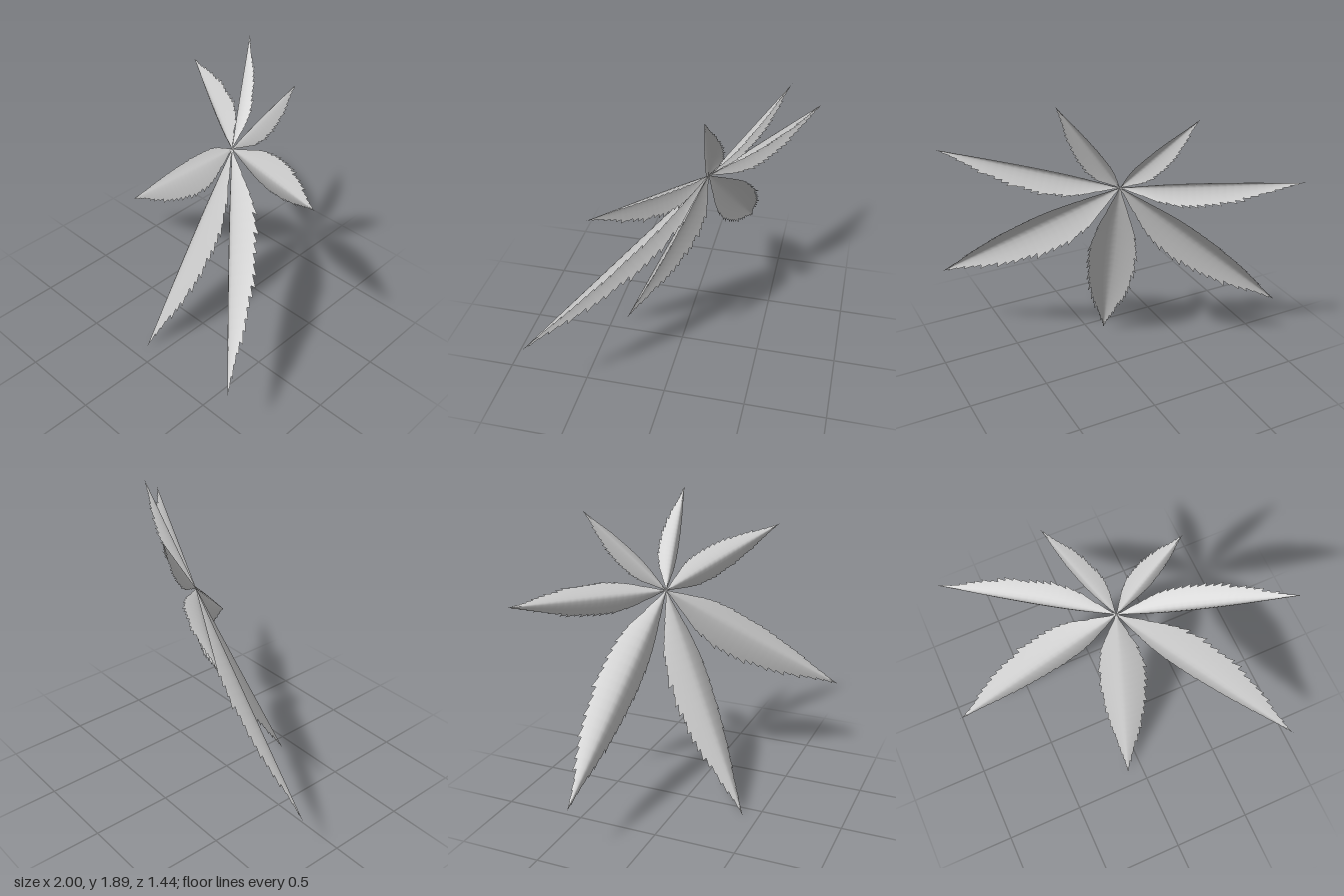
import * as THREE from 'three';

const HUB = new THREE.Vector3(0.07, 1.33, -0.17);
const FACING = new THREE.Vector3(-0.57, 0.47, 1).normalize();
const TEETH = 24;

// name, tip position, half width, depth of the fold
const LEAFLETS = [
  ['lowerRightLeaflet', [-1.0, 0.36, -0.29], 0.135, 0.08],
  ['lowerMiddleLeaflet', [-0.1, 0.0, 0.41], 0.142, 0.075],
  ['lowerLeftLeaflet', [0.9, 0.55, 0.72], 0.142, 0.085],
  ['sideLeftLeaflet', [1.0, 1.585, 0.24], 0.092, 0.072],
  ['upperLeftLeaflet', [0.47, 1.89, -0.22], 0.068, 0.06],
  ['upperRightLeaflet', [-0.185, 1.83, -0.58], 0.064, 0.05],
  ['sideRightLeaflet', [-0.8, 1.405, -0.72], 0.09, 0.072],
];

// Outline: half width at even steps from base to tip
const outline = new THREE.SplineCurve(
  [0.03, 0.37, 0.74, 0.95, 1, 0.96, 0.85, 0.67, 0.43, 0.17, 0].map((w, i) => new THREE.Vector2(i / 10, w))
);

// Repeatable irregularity for the teeth, 0 to 1
const vary = (n) => {
  const s = Math.sin(n * 12.9898) * 43758.5453;
  return s - Math.floor(s);
};

function leafletGeometry(length, halfWidth, fold, seed) {
  const columns = [-1, -0.85, -0.6, -0.35, -0.15, 0, 0.15, 0.35, 0.6, 0.85, 1];
  const rows = [];
  for (let k = 0; k < TEETH; k++) rows.push([k / TEETH, 0, k], [(k + 0.75) / TEETH, 1, k]);
  rows.push([1, 0, TEETH]);

  const positions = [];
  const indices = [];
  rows.forEach(([t, isTooth, k], i) => {
    const w = Math.max(outline.getPoint(t).y, 0);
    columns.forEach((u, j) => {
      // Only the margin is cut into forward-pointing teeth
      let edge = 1;
      let forward = 0;
      if (Math.abs(u) === 1 && t > 0.12 && t < 0.95) {
        const r = vary(seed * 57 + k * 2 + (u > 0 ? 1 : 0));
        edge = isTooth ? 1.02 + 0.1 * r : 0.92 + 0.06 * r;
        forward = isTooth ? (0.2 + 0.4 * r) / TEETH : 0;
      }
      const a = Math.abs(u) * edge;
      positions.push(
        Math.sign(u) * a * w * halfWidth,
        (t + forward) * length,
        -fold * w * Math.pow(a, 1.5)
      );
      if (i < rows.length - 1 && j < columns.length - 1) {
        const p = i * columns.length + j;
        const q = p + columns.length;
        indices.push(p, p + 1, q, p + 1, q + 1, q);
      }
    });
  });

  const geometry = new THREE.BufferGeometry();
  geometry.setAttribute('position', new THREE.Float32BufferAttribute(positions, 3));
  geometry.setIndex(indices);
  geometry.computeVertexNormals();
  return geometry;
}

export function createModel() {
  const group = new THREE.Group();
  group.name = 'palmateLeaf';
  const material = new THREE.MeshStandardMaterial({ color: 0xcccccc, side: THREE.DoubleSide });

  // Leaflets radiate from the hub, each folded back along its midrib
  LEAFLETS.forEach(([name, tip, halfWidth, fold], i) => {
    const along = new THREE.Vector3(...tip).sub(HUB);
    const length = along.length();
    along.normalize();
    const out = FACING.clone().addScaledVector(along, -FACING.dot(along)).normalize();
    const across = along.clone().cross(out);

    const mesh = new THREE.Mesh(leafletGeometry(length, halfWidth, fold, i + 1), material);
    mesh.name = name;
    mesh.quaternion.setFromRotationMatrix(new THREE.Matrix4().makeBasis(across, along, out));
    mesh.position.copy(HUB);
    group.add(mesh);
  });
  return group;
}
